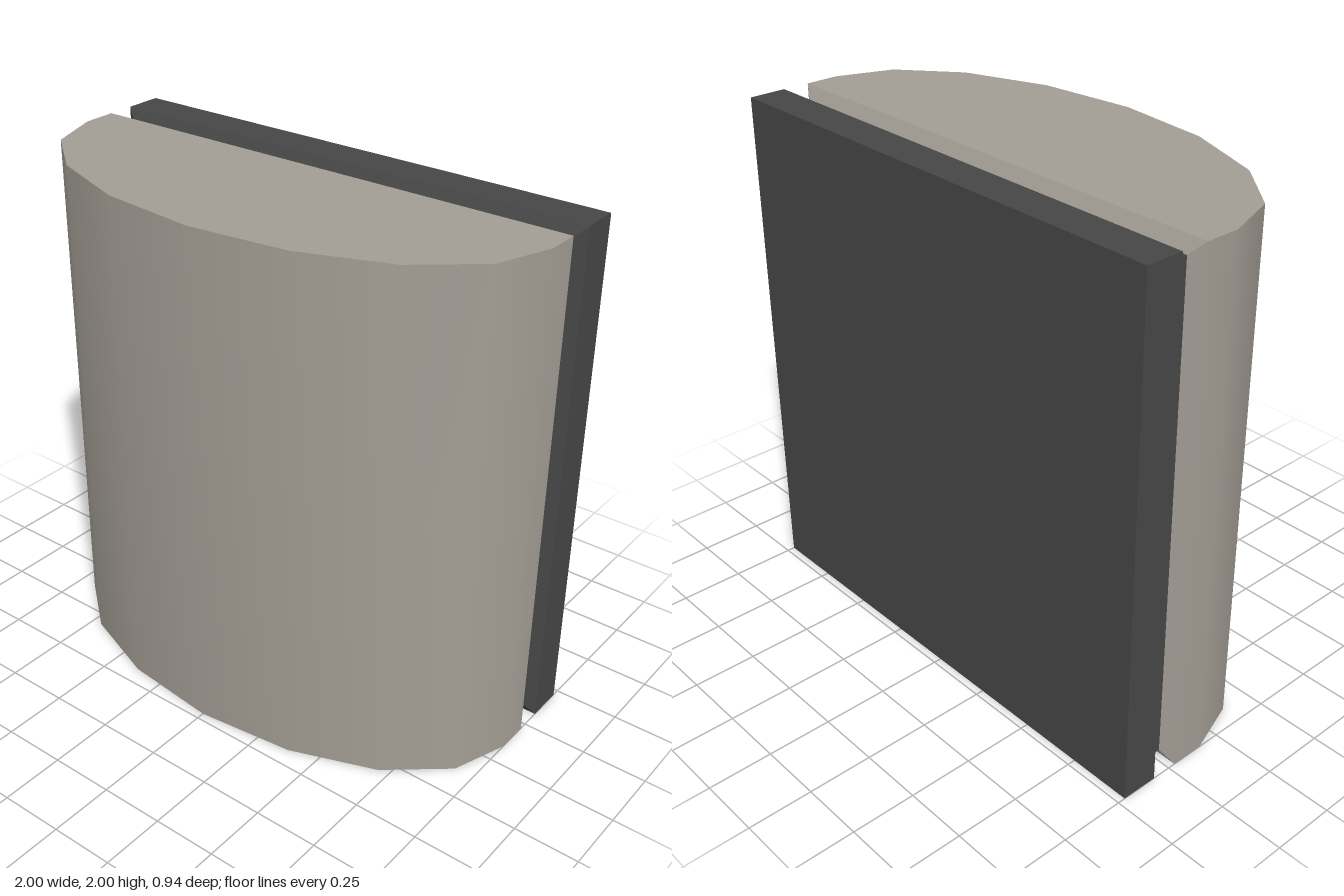
import * as THREE from 'three';
import { toCreasedNormals } from 'three/addons/utils/BufferGeometryUtils.js';

export function createModel() {
  const group = new THREE.Group();
  const beige = new THREE.MeshStandardMaterial({ color: 0xa39d94 });
  beige.name = 'warm grey';
  const dark = new THREE.MeshStandardMaterial({ color: 0x464646 });
  dark.name = 'dark grey';

  const add = (name, geometry, material, y = 0, z = 0) => {
    const mesh = new THREE.Mesh(geometry, material);
    mesh.name = name;
    mesh.position.set(0, y, z);
    group.add(mesh);
  };

  // Square bevel ring along z, from half-width `back` at zBack to `front` at zFront
  const bevel = (front, back, zFront, zBack) => {
    const g = new THREE.CylinderGeometry(front * Math.SQRT2, back * Math.SQRT2, zFront - zBack, 4, 1, true);
    g.rotateY(Math.PI / 4).rotateX(Math.PI / 2).translate(0, 0, (zFront + zBack) / 2);
    return toCreasedNormals(g, 0.5);
  };

  // Bowed front body: half ellipse in eight steps with a short straight back
  const shape = new THREE.Shape();
  shape.moveTo(-1, 0.22);
  for (let i = 0; i <= 8; i++) {
    const a = Math.PI * (1 - i / 8);
    shape.lineTo(Math.cos(a), 0.09 - 0.56 * Math.sin(a));
  }
  shape.lineTo(1, 0.22);
  shape.closePath();
  const body = new THREE.ExtrudeGeometry(shape, { depth: 2, bevelEnabled: false });
  body.rotateX(-Math.PI / 2);
  add('frontBody', toCreasedNormals(body, 0.8), beige);
  add('frontBodyBevel', bevel(1, 0.95, -0.22, -0.25), beige, 1);
  add('frontBodyBack', new THREE.PlaneGeometry(1.9, 1.9).rotateY(Math.PI), beige, 1, -0.25);

  // Recessed core, bevel and flat back plate
  add('grooveCore', new THREE.BoxGeometry(1.9, 1.9, 0.045), dark, 1, -0.2725);
  add('backPlateBevel', bevel(0.95, 1, -0.295, -0.325), dark, 1);
  add('backPlate', new THREE.BoxGeometry(2, 2, 0.145), dark, 1, -0.3975);

  return group;
}
